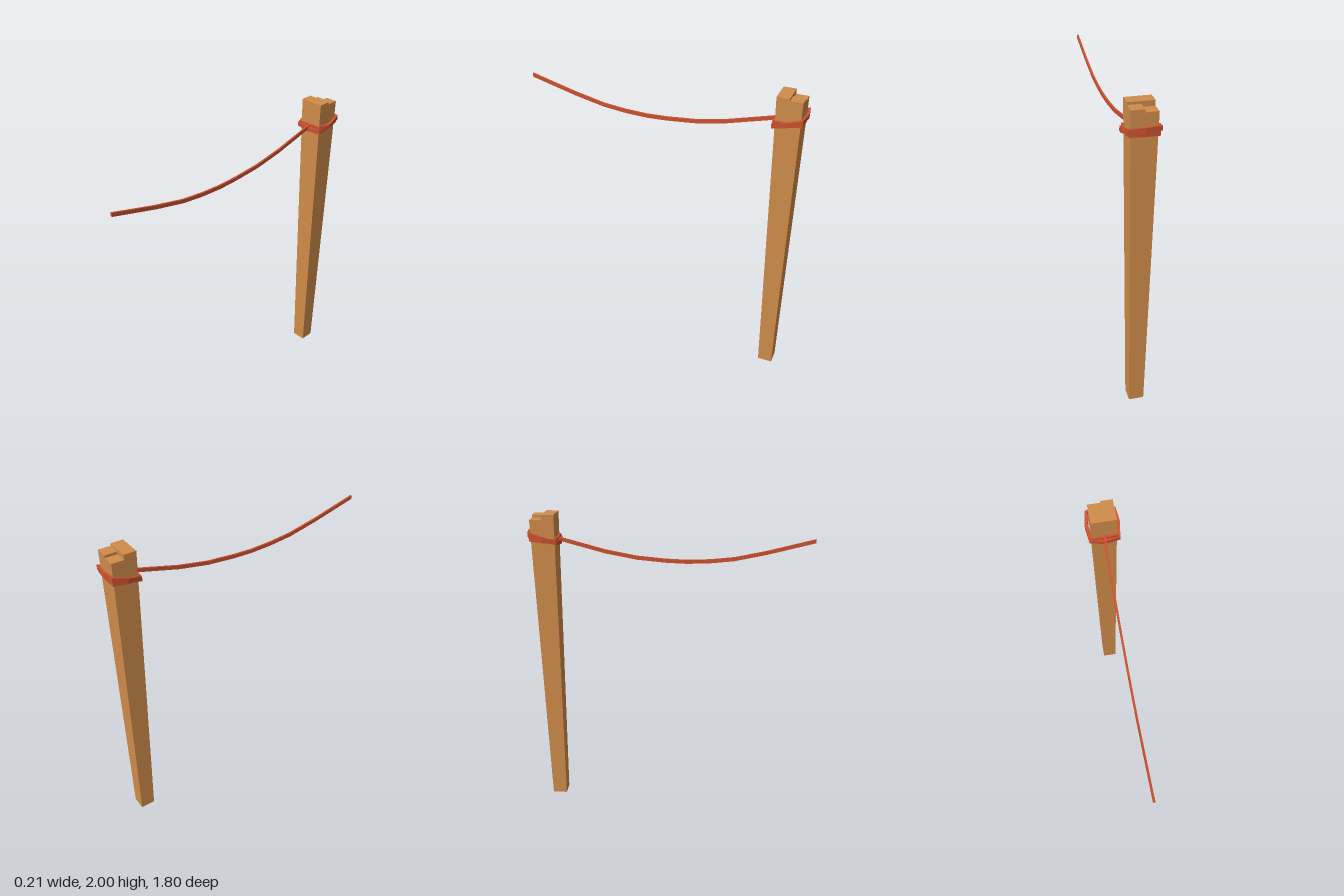
import * as THREE from 'three';

const POST_Z = -0.797;

// Sweep a small rectangular section along points; each point is [x, y, z, outwardX, outwardZ]
function strand(points, halfThick, halfHigh, closed) {
  const corners = [[1, 1], [-1, 1], [-1, -1], [1, -1]];
  const pos = [], idx = [], n = points.length;
  for (const [x, y, z, ox, oz] of points) {
    for (const [a, b] of corners) {
      pos.push(x + ox * a * halfThick, y + b * halfHigh, z + oz * a * halfThick);
    }
  }
  const spans = closed ? n : n - 1;
  for (let i = 0; i < spans; i++) {
    const p = i * 4, q = ((i + 1) % n) * 4;
    for (let k = 0; k < 4; k++) {
      const m = (k + 1) % 4;
      idx.push(p + k, p + m, q + m, p + k, q + m, q + k);
    }
  }
  if (!closed) {
    const e = (n - 1) * 4;
    idx.push(0, 2, 1, 0, 3, 2, e, e + 1, e + 2, e, e + 2, e + 3);
  }
  const indexed = new THREE.BufferGeometry();
  indexed.setAttribute('position', new THREE.Float32BufferAttribute(pos, 3));
  indexed.setIndex(idx);
  const geo = indexed.toNonIndexed();
  geo.computeVertexNormals();
  return geo;
}

// Part of the tapered post, with x and z given as fractions of its half width
function postBlock(x0, x1, z0, z1, top) {
  const geo = new THREE.BoxGeometry(x1 - x0, top, z1 - z0);
  geo.translate((x0 + x1) / 2, top / 2, (z0 + z1) / 2);
  const p = geo.attributes.position;
  for (let i = 0; i < p.count; i++) {
    const y = p.getY(i), half = 0.047 + 0.015 * y;
    p.setXYZ(i, p.getX(i) * half, y, POST_Z + p.getZ(i) * half);
  }
  geo.computeVertexNormals();
  return geo;
}

// Eight-cornered loop around the post, rising from front to back
function loopPoints(halfX, bulgeX, halfZ, bulgeZ, yFront, yBack, twist) {
  const plan = [
    [bulgeX, 0], [halfX, halfZ], [0, bulgeZ], [-halfX, halfZ],
    [-bulgeX, 0], [-halfX, -halfZ], [0, -bulgeZ], [halfX, -halfZ],
  ];
  return plan.map(([x, z]) => {
    const len = Math.hypot(x, z);
    const t = (halfZ - z) / (2 * halfZ);
    return [x, yFront + (yBack - yFront) * t + twist * x, POST_Z + z, x / len, z / len];
  });
}

export function createModel() {
  const wood = new THREE.MeshStandardMaterial({ color: 0xd08d4a });
  wood.name = 'wood';
  const rope = new THREE.MeshStandardMaterial({ color: 0xcc5230 });
  rope.name = 'redRope';

  const model = new THREE.Group();
  model.name = 'postWithRope';
  const add = (name, geo, mat, parent = model) => {
    const mesh = new THREE.Mesh(geo, mat);
    mesh.name = name;
    parent.add(mesh);
  };

  // Tapered post with a stepped, split top
  const post = new THREE.Group();
  post.name = 'post';
  model.add(post);
  add('postFront', postBlock(-1, 1, 0, 1, 2), wood, post);
  add('postBackLeft', postBlock(0, 1, -1, 0, 1.985), wood, post);
  add('postBackRight', postBlock(-1, 0, -1, 0, 1.968), wood, post);

  // Two loops tied around the post
  add('levelLoop', strand(loopPoints(0.08, 0.092, 0.079, 0.081, 1.838, 1.85, 0.03), 0.008, 0.013, true), rope);
  add('tiltedLoop', strand(loopPoints(0.087, 0.099, 0.084, 0.096, 1.824, 1.876, -0.03), 0.008, 0.014, true), rope);

  // Sagging rope hanging forward from the post
  const sag = [
    [-0.72, 1.84], [-0.42, 1.76], [-0.22, 1.722], [-0.03, 1.705], [0.1, 1.7],
    [0.25, 1.706], [0.4, 1.722], [0.6, 1.765], [0.903, 1.844],
  ];
  add('hangingRope', strand(sag.map(([z, y]) => [0, y, z, 1, 0]), 0.006, 0.012, false), rope);

  return model;
}
